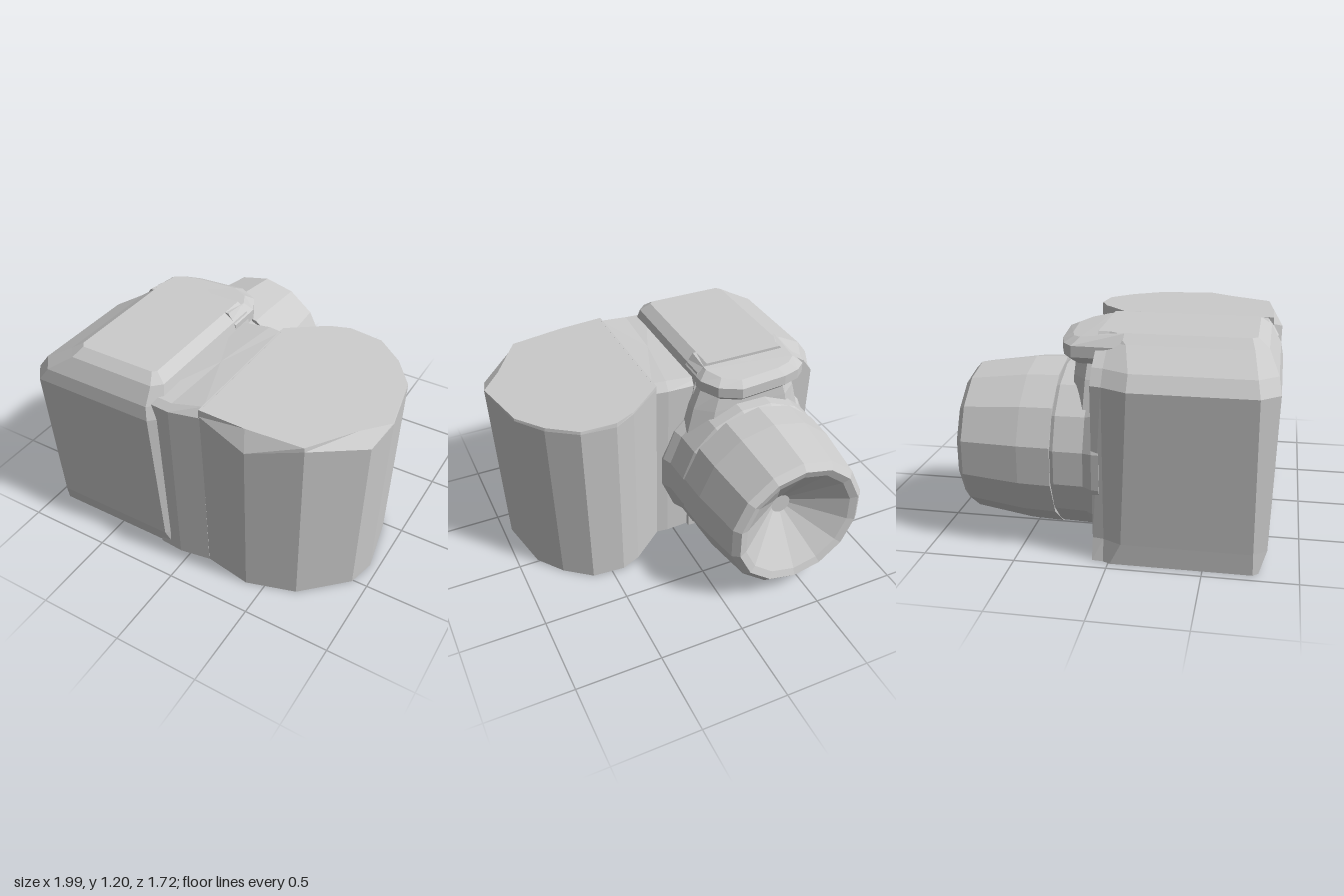
import * as THREE from 'three';

const material = new THREE.MeshStandardMaterial({ color: 0xcccccc, flatShading: true });

// Skin a list of equal-length rings of [x, y, z], closing both ends with fans.
function loft(name, rings) {
  const pos = [];
  const tri = (a, b, c) => pos.push(...a, ...b, ...c);
  const n = rings[0].length;
  for (let k = 0; k < rings.length - 1; k++) {
    for (let i = 0; i < n; i++) {
      const j = (i + 1) % n;
      const [a, b, c, d] = [rings[k][i], rings[k][j], rings[k + 1][j], rings[k + 1][i]];
      tri(a, b, c);
      tri(a, c, d);
    }
  }
  const centre = (r) => [0, 1, 2].map((q) => r.reduce((s, p) => s + p[q], 0) / n);
  const first = rings[0], last = rings[rings.length - 1];
  const c0 = centre(first), c1 = centre(last);
  for (let i = 0; i < n; i++) {
    const j = (i + 1) % n;
    tri(c0, first[j], first[i]);
    tri(c1, last[i], last[j]);
  }
  const geo = new THREE.BufferGeometry();
  geo.setAttribute('position', new THREE.Float32BufferAttribute(pos, 3));
  geo.computeVertexNormals();
  const mesh = new THREE.Mesh(geo, material);
  mesh.name = name;
  return mesh;
}

// Main block: horizontal rings with cut corners, [y, left, right, back, front, cut]
function mainBlock() {
  const levels = [
    [0, -0.95, -0.1, -0.09, 0.79, 0.02],
    [0.12, -0.955, -0.1, -0.09, 0.83, 0.05],
    [0.97, -1, -0.11, -0.09, 0.86, 0.07],
    [1.05, -0.94, -0.12, -0.09, 0.845, 0.07],
    [1.15, -0.77, -0.14, -0.09, 0.79, 0.05],
    [1.195, -0.7, -0.2, -0.09, 0.73, 0.02],
  ];
  return loft('mainBlock', levels.map(([y, l, r, b, f, c]) => [
    [r, y, f - c], [r, y, b], [l + c * 1.2, y, b], [l + c, y, b + 0.06],
    [l, y, b + 0.06 + 2 * c], [l, y, f - 1.4 * c], [l + 1.2 * c, y, f], [r - c, y, f],
  ]));
}

// Rounded grip: plan outline of [x, z, height of the side edge]
function grip() {
  const plan = [
    [0.99, 0.35, 1.08], [0.92, 0, 1.07], [0.8, -0.16, 1.07], [0.64, -0.285, 1.08],
    [0.44, -0.3, 1.08], [0.32, -0.25, 1.1], [0.11, -0.08, 1.1], [0.11, 0.8, 1.08],
    [0.41, 0.85, 1.0], [0.7, 0.76, 1.07], [0.95, 0.52, 1.02],
  ];
  const shrink = (k) => ([x, z]) => [0.11 + (x - 0.11) * k, 0.27 + (z - 0.27) * k];
  const bottom = plan.map(shrink(0.955)).map(([x, z]) => [x, 0, z]);
  const side = plan.map(([x, z, y]) => [x, y, z]);
  const top = plan.map((p) => {
    const [x, z] = shrink(p[2] < 1.05 ? 0.9 : 0.995)(p);
    return [x, 1.125 - 0.045 * x, z];
  });
  return loft('grip', [bottom, side, top]);
}

// Narrow panel joining the block and the grip
function joiningPanel() {
  const ring = (y, yEdge, inset) => [
    [0.12, y, 0.8 - inset], [0.12, y, -0.08 + inset], [0.04, y, -0.09 + inset],
    [-0.2, yEdge, -0.08 + inset], [-0.2, yEdge, 0.82 - inset], [-0.06, yEdge, 0.83 - inset],
  ];
  return loft('joiningPanel', [ring(0, 0, 0.02), ring(1.07, 1.06, 0), ring(1.12, 1.09, 0.04)]);
}

// Lens parts: faceted rings along -z, [z, radius]
function lensPart(name, sides, profile) {
  return loft(name, profile.map(([z, r]) => Array.from({ length: sides }, (_, i) => {
    const a = ((i + 0.5) / sides) * Math.PI * 2;
    return [-0.42 - r * Math.cos(a), 0.5 + r * Math.sin(a), z];
  })));
}

// Overhanging hood above the lens and the neck beneath it
function hood() {
  const plan = [
    [-0.13, 0.05], [-0.13, -0.15], [-0.19, -0.26], [-0.31, -0.325],
    [-0.6, -0.3], [-0.7, -0.27], [-0.76, -0.22], [-0.77, 0.05],
  ];
  const ring = (y, k, tilt) => plan.map(([x, z]) =>
    [-0.45 + (x + 0.45) * k, y + Math.min(0, z) * tilt, 0.05 + (z - 0.05) * k]);
  return loft('hood', [ring(1.03, 0.88, 0), ring(1.07, 1, 0), ring(1.13, 1, 0), ring(1.195, 0.85, 0.12)]);
}

function neck() {
  const ring = (y, w, z) => [
    [-0.42 + w, y, 0], [-0.42 + w, y, z + 0.08], [-0.42 + w * 0.7, y, z],
    [-0.42 - w * 0.7, y, z], [-0.42 - w, y, z + 0.08], [-0.42 - w, y, 0],
  ];
  return loft('neck', [ring(0.75, 0.38, -0.24), ring(0.95, 0.33, -0.23), ring(1.07, 0.28, -0.22)]);
}

export function createModel() {
  const model = new THREE.Group();
  model.name = 'camera';
  model.add(
    mainBlock(), grip(), joiningPanel(), hood(), neck(),
    lensPart('lensMount', 16, [[-0.05, 0.51], [-0.09, 0.505], [-0.14, 0.48], [-0.3, 0.475], [-0.33, 0.46]]),
    // barrel ends in a hollow funnel
    lensPart('lensBarrel', 14, [
      [-0.32, 0.477], [-0.5, 0.47], [-0.82, 0.423], [-0.855, 0.385], [-0.84, 0.34], [-0.64, 0.06],
    ]),
  );
  return model;
}
